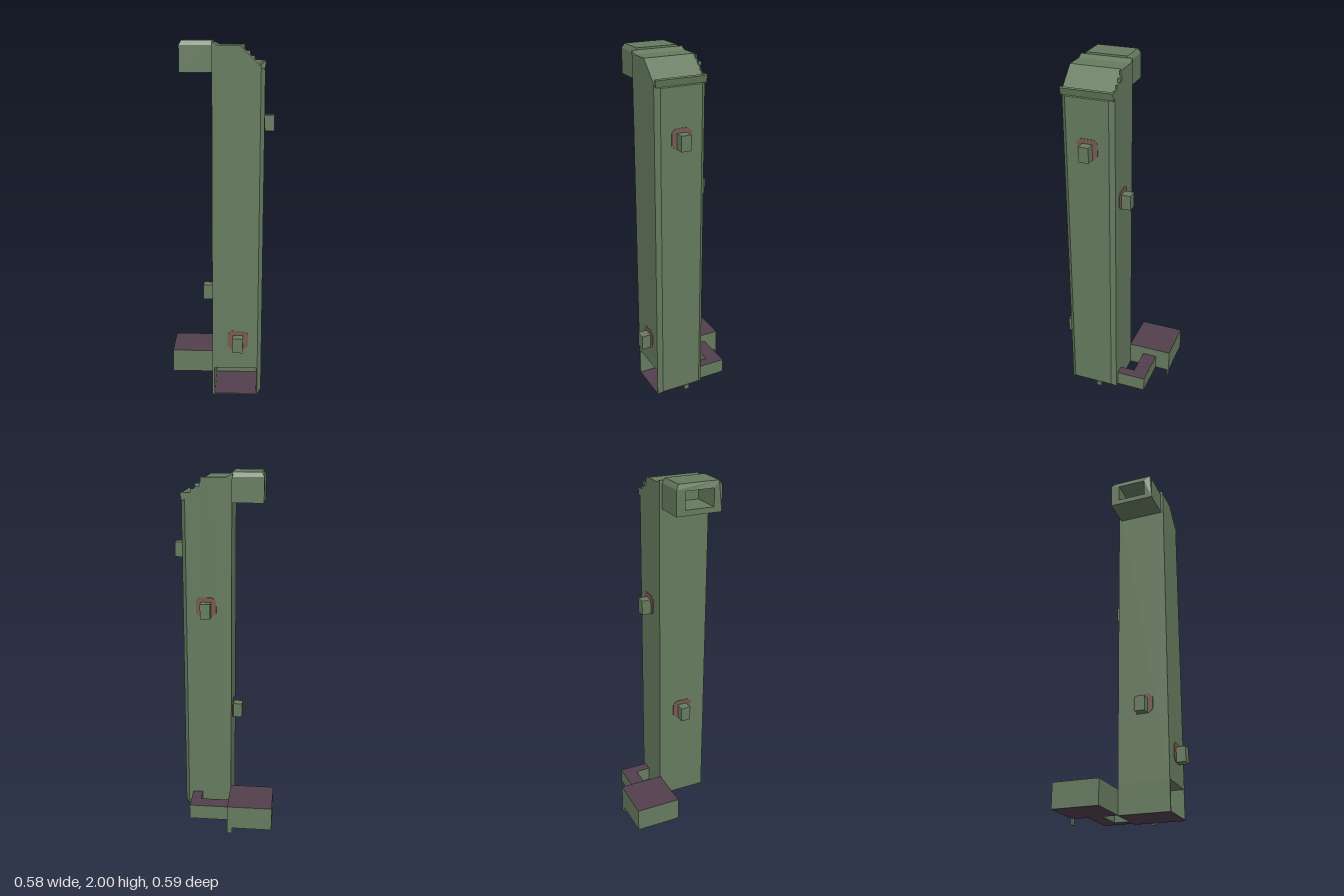
import * as THREE from 'three';

export function createModel() {
  const root = new THREE.Group();
  const mat = (name, color) => {
    const m = new THREE.MeshStandardMaterial({ color });
    m.name = name;
    return m;
  };
  const green = mat('olive green', 0x667b5f);
  const purple = mat('dark purple', 0x523f4c);
  const red = mat('rust red', 0x765a50);

  const add = (name, geometry, material = green) => {
    const m = new THREE.Mesh(geometry, material);
    m.name = name;
    root.add(m);
    return m;
  };
  // Box given by its limits
  const box = (name, x0, x1, y0, y1, z0, z1, material) => {
    const g = new THREE.BoxGeometry(x1 - x0, y1 - y0, z1 - z0);
    g.translate((x0 + x1) / 2, (y0 + y1) / 2, (z0 + z1) / 2);
    return add(name, g, material);
  };
  const shapeOf = pts => new THREE.Shape(pts.map(p => new THREE.Vector2(p[0], p[1])));
  const flat = depth => ({ depth, bevelEnabled: false });
  // Upright prism over a plan outline (x, z); end heights follow rules of x
  const prism = (name, plan, bottom, top) => {
    const g = new THREE.ExtrudeGeometry(shapeOf(plan.map(([x, z]) => [x, -z])), flat(1));
    g.rotateX(-Math.PI / 2);
    const p = g.attributes.position;
    for (let i = 0; i < p.count; i++) {
      const x = p.getX(i);
      p.setY(i, p.getY(i) > 0.5 ? top(x) : bottom(x));
    }
    g.computeVertexNormals();
    return add(name, g);
  };
  // Side profile (x, y) pulled through z
  const slab = (name, profile, z0, z1) => {
    const g = new THREE.ExtrudeGeometry(shapeOf(profile), flat(z1 - z0));
    g.translate(0, 0, z0);
    return add(name, g);
  };

  const L = -0.037, R = 0.237, B = -0.045, F = 0.24;

  // Main shaft: flat-topped half and chamfered half with sloping roof
  prism('shaftInner', [[L, B], [L, F], [0.105, F], [0.105, B]], () => 0.2, () => 1.975);
  prism('shaftOuter',
    [[0.105, B], [0.105, F], [0.215, F], [R, 0.215], [R, -0.02], [0.215, B]],
    () => 0.2, x => 1.975 - (x - 0.105) * 0.95);

  // Lip along the lower edge of the sloping roof and stepped edge at the back
  slab('roofLip', [[0.212, 1.873], [0.232, 1.853], [0.241, 1.89], [0.229, 1.895]], B, F);
  slab('steppedEdge', [[0.1, 1.9], [0.233, 1.85], [0.233, 1.895], [0.185, 1.895], [0.185, 1.915],
    [0.16, 1.915], [0.16, 1.943], [0.13, 1.943], [0.13, 1.975], [0.1, 1.975]], B, -0.037);
  box('edgeChip', 0.133, 0.16, 1.925, 1.943, -0.053, B);

  // Open outlet at the foot of the shaft
  box('outletBack', L, 0.215, 0.04, 0.2, B, -0.035);
  box('outletLeft', L, -0.025, 0.04, 0.2, B, F);
  prism('outletRight', [[0.21, B], [0.21, F], [0.215, F], [R, 0.215], [R, -0.02], [0.215, B]],
    x => (x > 0.23 ? 0.06 : 0.035), () => 0.2);
  const capped = [green, green, purple, purple, green, green];
  box('outletFloor', L, 0.215, 0.034, 0.04, B, F, capped);
  box('floorChip', 0.222, 0.236, 0.027, 0.055, 0.045, 0.075);

  // Hollow head with bevelled top
  const frame = shapeOf([[-0.03, 1.84], [0.225, 1.84], [0.225, 1.975], [0.212, 2], [-0.015, 2], [-0.03, 1.975]]);
  frame.holes.push(new THREE.Path([[0.02, 1.87], [0.02, 1.965], [0.18, 1.965], [0.18, 1.87]]
    .map(p => new THREE.Vector2(p[0], p[1]))));
  const head = new THREE.ExtrudeGeometry(frame, flat(0.17));
  head.rotateY(-Math.PI / 2);
  head.translate(L, 0, 0);
  const hp = head.attributes.position;
  for (let i = 0; i < hp.count; i++) {
    if (hp.getX(i) < -0.2 && hp.getY(i) > 1.99) hp.setX(i, -0.195);
  }
  head.computeVertexNormals();
  add('head', head);
  slab('headCollar', [[-0.04, 1.965], [-0.005, 1.975], [-0.034, 1.99], [-0.04, 1.99]], B, F);

  // Side box and bent arm at the base
  box('baseBox', -0.29, L, 0.035, 0.17, -0.298, -0.043, capped);
  box('baseArm', L, 0.19, 0.035, 0.12, -0.213, -0.13, capped);
  box('baseArmBend', 0.133, 0.19, 0.035, 0.12, -0.13, -0.034, capped);
  box('baseTab', -0.065, L, 0, 0.04, -0.298, -0.288);

  // Pegs, each with a rust-coloured octagonal plate behind it
  const plate = shapeOf([[-0.035, -0.055], [0.035, -0.055], [0.057, -0.035], [0.057, 0.035],
    [0.035, 0.055], [-0.035, 0.055], [-0.057, 0.035], [-0.057, -0.035]]);
  const peg = (name, x, y, z, turn) => {
    const g = new THREE.Group();
    g.name = name;
    const p = new THREE.Mesh(new THREE.ExtrudeGeometry(plate, flat(0.003)), red);
    p.name = 'pegPlate';
    p.position.y = 0.013;
    const b = new THREE.Mesh(new THREE.BoxGeometry(0.056, 0.084, 0.056), green);
    b.name = 'pegBlock';
    b.position.z = 0.027;
    g.add(p, b);
    g.position.set(x, y, z);
    g.rotation.y = turn;
    root.add(g);
  };
  peg('frontPeg', 0.105, 0.357, F, 0);
  peg('backPeg', 0.105, 1.257, B, Math.PI);
  peg('leftPeg', R, 1.57, 0.098, Math.PI / 2);
  peg('rightPeg', L, 0.61, 0.098, -Math.PI / 2);

  return root;
}
